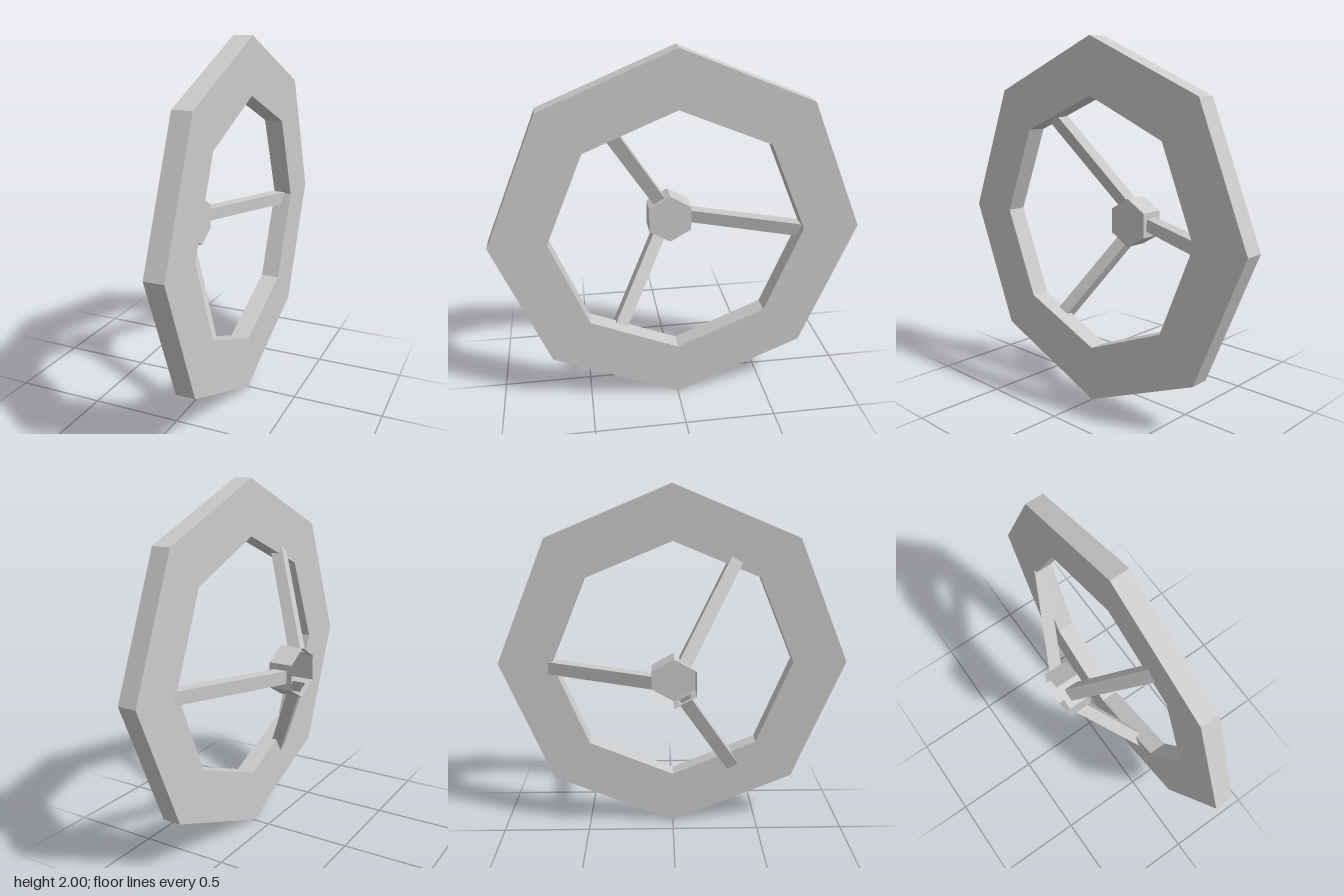
import * as THREE from 'three';

const material = new THREE.MeshStandardMaterial({ color: 0xcccccc, flatShading: true, side: THREE.DoubleSide });

const HUB_Y = 0.972, HUB_RADIUS = 0.14, HUB_BACK = -0.215, HUB_FRONT = -0.08;
const APOTHEM = HUB_RADIUS * Math.cos(Math.PI / 6);
const SPOKE_X = [-0.185, -0.107], SPOKE_WIDTH = 0.072, SPOKE_END = 0.74, SPOKE_SLOPE = 0.492;

function addMesh(parent, name, geometry) {
  const mesh = new THREE.Mesh(geometry, material);
  mesh.name = name;
  parent.add(mesh);
  return mesh;
}

function octagon(radius) {
  return Array.from({ length: 8 }, (_, i) => {
    const a = (i * Math.PI) / 4;
    return new THREE.Vector2(Math.cos(a) * radius, Math.sin(a) * radius);
  });
}

function rectangle(x0, x1, halfWidth) {
  return [[x0, -halfWidth], [x1, -halfWidth], [x1, halfWidth], [x0, halfWidth]].map((p) => new THREE.Vector2(...p));
}

// Flat octagonal rim with an octagonal opening
function rimGeometry() {
  const shape = new THREE.Shape(octagon(1));
  shape.holes.push(new THREE.Path(octagon(0.693)));
  return new THREE.ExtrudeGeometry(shape, { depth: 0.106, bevelEnabled: false })
    .rotateY(Math.PI / 2)
    .translate(0.107, 1, 0);
}

// One hub side, optionally pierced where a hollow spoke joins
function hubSideGeometry(pierced) {
  const shape = new THREE.Shape(rectangle(HUB_BACK, HUB_FRONT, HUB_RADIUS / 2));
  if (pierced) shape.holes.push(new THREE.Path(rectangle(...SPOKE_X, SPOKE_WIDTH / 2)));
  return new THREE.ShapeGeometry(shape).rotateX(-Math.PI / 2).translate(0, APOTHEM, 0);
}

// Open square tube, slanted from the hub toward the rim
function spokeGeometry() {
  const length = SPOKE_END - APOTHEM;
  const tube = new THREE.CylinderGeometry(Math.SQRT1_2, Math.SQRT1_2, 1, 4, 1, true)
    .rotateY(Math.PI / 4)
    .translate(0, 0.5, 0)
    .scale(SPOKE_X[1] - SPOKE_X[0], length, SPOKE_WIDTH);
  const p = tube.attributes.position;
  for (let i = 0; i < p.count; i++) p.setX(i, p.getX(i) + p.getY(i) * SPOKE_SLOPE);
  tube.translate((SPOKE_X[0] + SPOKE_X[1]) / 2, APOTHEM, 0);
  const flat = tube.toNonIndexed();
  flat.computeVertexNormals();
  return flat;
}

export function createModel() {
  const model = new THREE.Group();
  model.name = 'handwheel';
  addMesh(model, 'rim', rimGeometry());

  // Hexagonal hub, closed on one side only, with three spokes
  const hub = new THREE.Group();
  hub.name = 'hub';
  hub.position.y = HUB_Y;
  model.add(hub);
  addMesh(hub, 'hubCap', new THREE.CircleGeometry(HUB_RADIUS, 6, Math.PI / 6).rotateY(Math.PI / 2).translate(HUB_FRONT, 0, 0));
  for (let i = 0; i < 6; i++) {
    const angle = -Math.PI / 2 + (i * Math.PI) / 3;
    const hasSpoke = i % 2 === 0;
    addMesh(hub, 'hubSide', hubSideGeometry(hasSpoke)).rotation.x = angle;
    if (hasSpoke) addMesh(hub, 'spoke', spokeGeometry()).rotation.x = angle;
  }
  return model;
}
